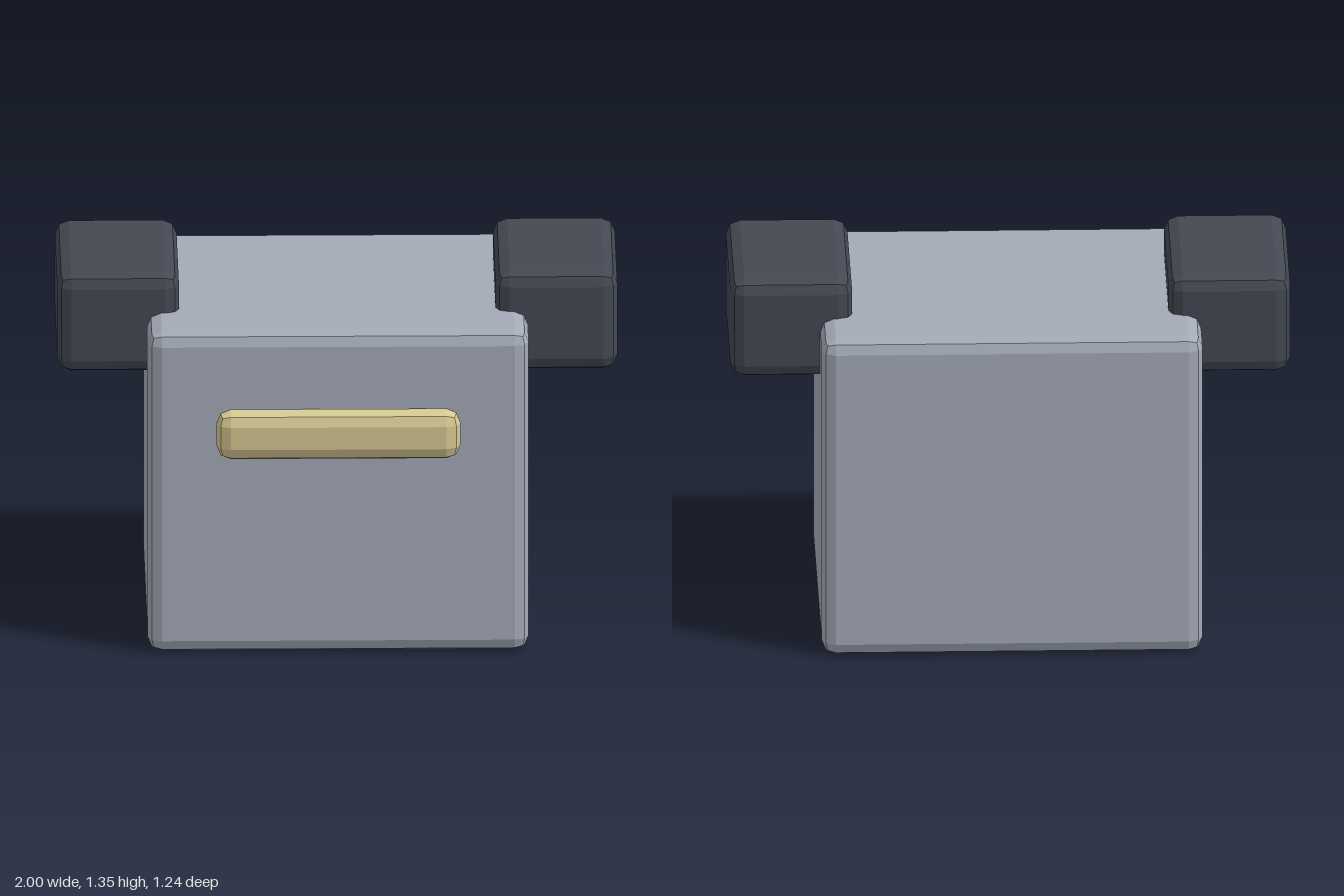
import * as THREE from 'three';
import { RoundedBoxGeometry } from 'three/addons/geometries/RoundedBoxGeometry.js';

function material(name, color) {
  const m = new THREE.MeshStandardMaterial({ color, flatShading: true });
  m.name = name;
  return m;
}

// Bevelled box given by its lower and upper corners
function bevelBox(name, min, max, radius, mat) {
  const size = max.map((v, i) => v - min[i]);
  const mesh = new THREE.Mesh(new RoundedBoxGeometry(...size, 1, radius), mat);
  mesh.position.set(...max.map((v, i) => (v + min[i]) / 2));
  mesh.name = name;
  return mesh;
}

export function createModel() {
  const grey = material('light grey', 0xa3aab7);
  const dark = material('dark slate', 0x434852);
  const gold = material('pale gold', 0xd5c892);

  const group = new THREE.Group();
  group.name = 'model';

  // Main block
  group.add(bevelBox('body', [-0.68, 0, -0.62], [0.68, 1.205, 0.54], 0.05, grey));

  // Bar across the front
  group.add(bevelBox('frontBar', [-0.435, 0.745, 0.51], [0.435, 0.928, 0.62], 0.05, gold));

  // Blocks overlapping the upper side edges
  for (const [name, side] of [['leftBlock', 1], ['rightBlock', -1]]) {
    const block = bevelBox(name, [0.565, 0.975, -0.38], [1, 1.345, 0.3], 0.05, dark);
    block.position.x *= side;
    group.add(block);
  }

  return group;
}
